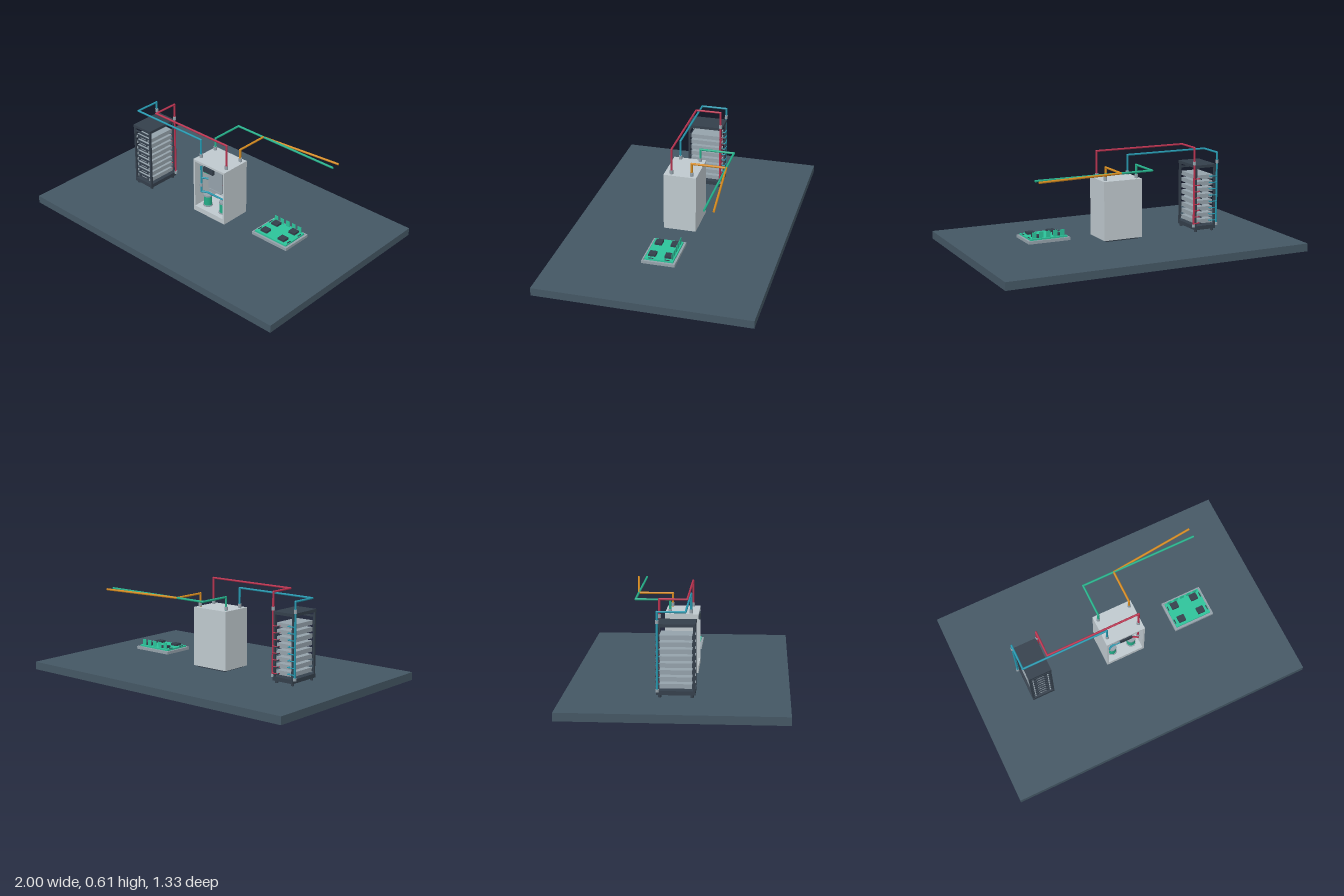
import * as THREE from 'three';

const mat = (name, color, side = THREE.FrontSide) => {
  const m = new THREE.MeshStandardMaterial({ color, side });
  m.name = name;
  return m;
};

export function createModel() {
  const root = new THREE.Group();
  const slate = mat('floor slate', 0x445764);
  const dark = mat('dark metal', 0x343f4b);
  const light = mat('light cabinet grey', 0xbfc9ce);
  const steel = mat('steel grey', 0x95a2ab);
  const red = mat('warm pipe red', 0xb8324f);
  const blue = mat('cool pipe blue', 0x2596ad);
  const green = mat('return pipe green', 0x24ad88);
  const orange = mat('supply pipe orange', 0xd48a1f);
  const board = mat('board green', 0x2cc39a);

  const group = (name) => {
    const g = new THREE.Group();
    g.name = name;
    root.add(g);
    return g;
  };
  const add = (parent, name, geo, material, x, y, z) => {
    const m = new THREE.Mesh(geo, material);
    m.name = name;
    m.position.set(x, y, z);
    parent.add(m);
    return m;
  };
  const box = (p, name, material, w, h, d, x, y, z) =>
    add(p, name, new THREE.BoxGeometry(w, h, d), material, x, y, z);
  const cyl = (p, name, material, r, h, x, y, z) =>
    add(p, name, new THREE.CylinderGeometry(r, r, h, 20), material, x, y, z);

  // Straight pipe runs joined by ball elbows
  const UP = new THREE.Vector3(0, 1, 0);
  const pipe = (p, name, material, r, points) => {
    const g = new THREE.Group();
    g.name = name;
    p.add(g);
    const pts = points.map((a) => new THREE.Vector3(...a));
    for (let i = 1; i < pts.length; i++) {
      const dir = pts[i].clone().sub(pts[i - 1]);
      const mid = pts[i].clone().add(pts[i - 1]).multiplyScalar(0.5);
      const run = cyl(g, 'pipeRun', material, r, dir.length(), mid.x, mid.y, mid.z);
      run.quaternion.setFromUnitVectors(UP, dir.normalize());
      if (i < pts.length - 1) {
        add(g, 'elbow', new THREE.SphereGeometry(r * 1.05, 12, 8), material, ...points[i]);
      }
    }
  };

  // Floor slab
  box(root, 'floorSlab', slate, 2, 0.05, 1.333, 0, 0.025, 0);

  // Server rack: frame
  const rack = group('serverRack');
  const rx = -0.584;
  box(rack, 'rackTop', dark, 0.15, 0.018, 0.228, rx, 0.479, 0);
  box(rack, 'rackBase', dark, 0.15, 0.025, 0.228, rx, 0.078, 0);
  for (const sx of [-1, 1]) {
    for (const sz of [-1, 1]) {
      box(rack, 'rackPost', dark, 0.012, 0.385, 0.012, rx + sx * 0.068, 0.28, sz * 0.106);
      cyl(rack, 'rackFoot', dark, 0.01, 0.018, rx + sx * 0.06, 0.058, sz * 0.095);
    }
  }
  box(rack, 'rackCrossbar', dark, 0.124, 0.01, 0.01, rx, 0.445, 0.106);

  // Eight servers with front panels and coolant branches
  for (let i = 0; i < 8; i++) {
    const y = 0.11 + i * 0.0414;
    box(rack, 'serverBody', steel, 0.122, 0.027, 0.19, rx, y + 0.006, 0);
    box(rack, 'serverFront', dark, 0.124, 0.022, 0.009, rx, y + 0.006, 0.099);
    for (const sx of [-1, 1]) {
      box(rack, 'serverHandle', steel, 0.006, 0.014, 0.008, rx + sx * 0.05, y + 0.006, 0.107);
    }
    box(rack, 'serverVent', steel, 0.05, 0.004, 0.003, rx, y + 0.006, 0.104);
    pipe(rack, 'warmBranch', red, 0.0035, [[-0.503, y, -0.112], [-0.545, y, -0.112], [-0.545, y, -0.09]]);
    pipe(rack, 'coolBranch', blue, 0.0035, [[-0.668, y + 0.01, -0.112], [-0.62, y + 0.01, -0.112], [-0.62, y + 0.01, -0.09]]);
    const plug = cyl(rack, 'branchCoupling', dark, 0.004, 0.026, -0.545, y, -0.116);
    plug.rotation.x = Math.PI / 2;
  }

  // Overhead loop between the rack and the cooling cabinet
  const loop = group('coolantLoop');
  pipe(loop, 'warmLine', red, 0.0065,
    [[-0.503, 0.09, -0.107], [-0.503, 0.603, -0.107], [-0.503, 0.603, 0.058], [0.108, 0.603, 0.058], [0.108, 0.43, 0.058]]);
  pipe(loop, 'coolLine', blue, 0.0065,
    [[-0.668, 0.09, -0.107], [-0.668, 0.562, -0.107], [-0.668, 0.562, 0.058], [-0.108, 0.562, 0.058], [-0.108, 0.43, 0.058]]);
  for (const x of [-0.668, -0.503]) {
    cyl(loop, 'manifoldCoupling', steel, 0.01, 0.022, x, 0.503, -0.107);
    cyl(loop, 'manifoldCap', steel, 0.01, 0.018, x, 0.094, -0.107);
  }

  // Facility lines leaving the back of the cabinet
  pipe(loop, 'returnLine', green, 0.007,
    [[-0.105, 0.43, -0.072], [-0.105, 0.52, -0.072], [-0.105, 0.52, -0.288], [0.663, 0.52, -0.288]]);
  pipe(loop, 'supplyLine', orange, 0.007,
    [[0.105, 0.43, -0.07], [0.105, 0.52, -0.07], [0.105, 0.52, -0.288], [0.66, 0.52, -0.345]]);
  for (const sx of [-1, 1]) {
    for (const z of [0.058, -0.071]) {
      cyl(loop, 'roofFitting', steel, 0.011, 0.024, sx * 0.107, 0.449, z);
    }
  }

  // Cooling cabinet: open-fronted shell
  const cab = group('coolingCabinet');
  for (const sx of [-1, 1]) {
    box(cab, 'cabinetSide', light, 0.012, 0.375, 0.208, sx * 0.125, 0.248, 0);
  }
  box(cab, 'cabinetBack', light, 0.24, 0.375, 0.01, 0, 0.248, -0.099);
  box(cab, 'cabinetRoof', light, 0.24, 0.014, 0.198, 0, 0.4285, 0.005);
  box(cab, 'cabinetFloor', light, 0.24, 0.035, 0.198, 0, 0.078, 0.005);
  box(cab, 'cabinetPlinth', dark, 0.22, 0.012, 0.18, 0, 0.056, 0);

  // Control screen and heat exchanger
  box(cab, 'controlScreen', dark, 0.08, 0.035, 0.02, 0, 0.402, 0.102);
  box(cab, 'heatExchanger', steel, 0.116, 0.145, 0.09, 0, 0.303, 0);
  for (const y of [0.225, 0.381]) {
    box(cab, 'exchangerRail', steel, 0.1, 0.01, 0.1, 0, y, 0);
  }

  // Pumps and inner pipework, mirrored left and right
  for (const sx of [-1, 1]) {
    const main = sx < 0 ? blue : red;
    const second = sx < 0 ? green : orange;
    cyl(cab, 'pumpBody', green, 0.027, 0.065, sx * 0.068, 0.133, 0.04);
    cyl(cab, 'pumpBase', steel, 0.032, 0.008, sx * 0.068, 0.099, 0.04);
    cyl(cab, 'pumpHead', steel, 0.029, 0.012, sx * 0.068, 0.171, 0.04);
    pipe(cab, 'innerRiser', main, 0.0065, [[sx * 0.108, 0.43, 0.058], [sx * 0.108, 0.186, 0.058], [sx * 0.068, 0.186, 0.04]]);
    pipe(cab, 'innerBranch', main, 0.006, [[sx * 0.108, 0.288, 0.058], [sx * 0.054, 0.288, 0.03]]);
    pipe(cab, 'facilityDrop', second, 0.006,
      [[sx * 0.105, 0.43, -0.071], [sx * 0.105, 0.32, -0.071], [sx * 0.105, 0.32, 0.03], [sx * 0.054, 0.32, 0.03]]);
    for (const y of [0.236, 0.39]) {
      cyl(cab, 'valve', steel, 0.011, 0.02, sx * 0.108, y, 0.058);
    }
  }
  pipe(cab, 'pumpLink', blue, 0.006, [[-0.068, 0.186, 0.04], [0.068, 0.186, 0.04]]);

  // Circuit board on a tray
  const tray = group('boardTray');
  const bx = 0.497;
  box(tray, 'trayBase', steel, 0.274, 0.012, 0.206, bx, 0.1, -0.002);
  for (const s of [-1, 1]) {
    box(tray, 'trayEnd', steel, 0.008, 0.007, 0.206, bx + s * 0.133, 0.109, -0.002);
    box(tray, 'trayRim', steel, 0.258, 0.007, 0.008, bx, 0.109, s * 0.099 - 0.002);
  }
  box(tray, 'circuitBoard', board, 0.244, 0.01, 0.178, bx, 0.117, -0.002);
  for (const sx of [-1, 1]) {
    for (const sz of [-1, 1]) {
      box(tray, 'chip', dark, 0.048, 0.014, 0.044, bx + sx * 0.069, 0.129, sz * 0.05 - 0.002);
      box(tray, 'edgeConnector', dark, 0.006, 0.004, 0.03, bx + sx * 0.115, 0.123, sz * 0.05 - 0.002);
    }
  }

  // Thin upright fins along the back edge of the board
  for (let i = -2; i <= 2; i++) {
    box(tray, 'boardFin', board, 0.028, 0.04, 0.003, bx + i * 0.046, 0.141, -0.08);
  }
  return root;
}
